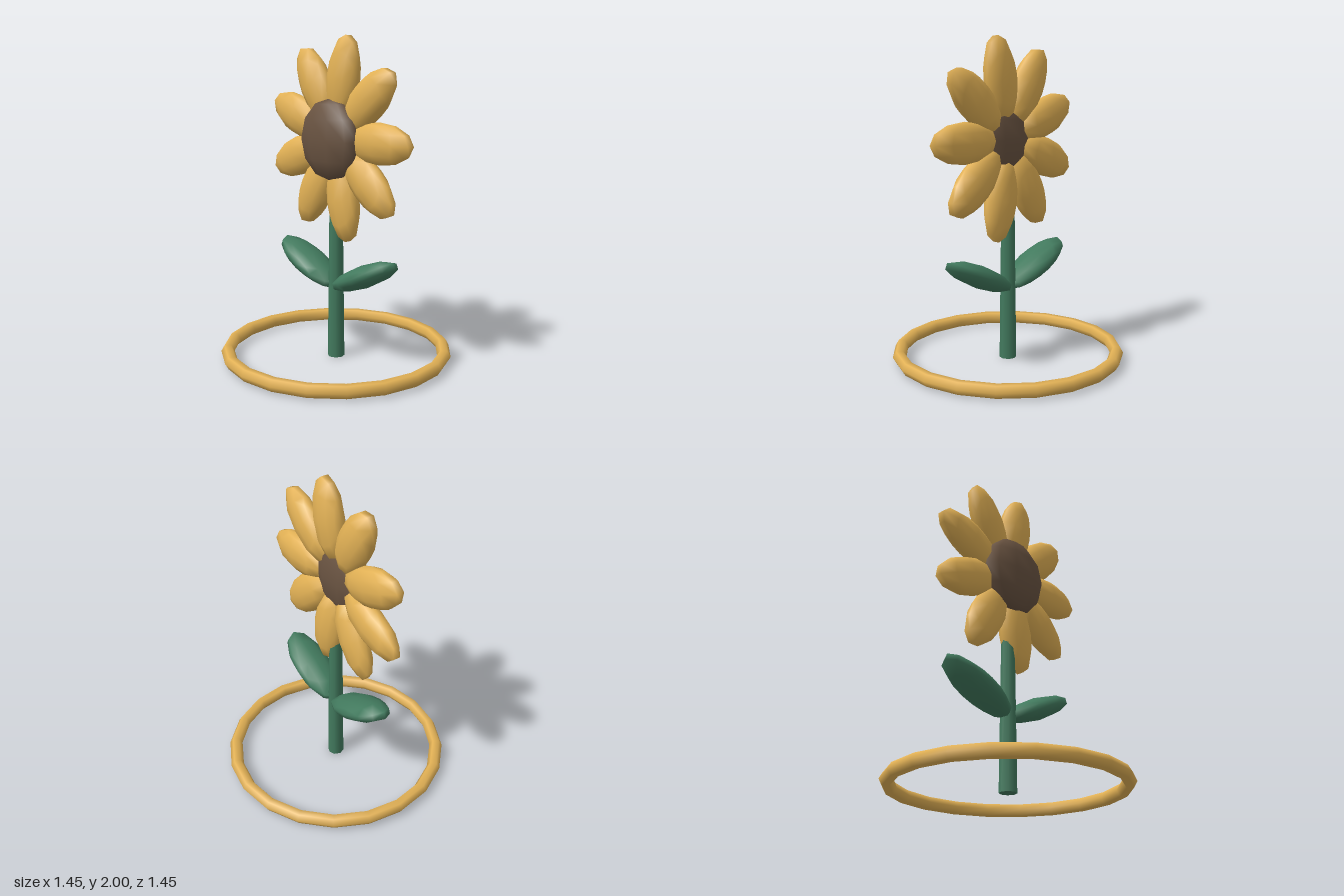
import * as THREE from 'three';

const yellow = new THREE.MeshStandardMaterial({ color: 0xe2b155 });
const green = new THREE.MeshStandardMaterial({ color: 0x427a5e });
const brown = new THREE.MeshStandardMaterial({ color: 0x695341 });

export function createModel() {
  const model = new THREE.Group();
  model.name = 'flower';

  const add = (name, geometry, material, x, y, z) => {
    const mesh = new THREE.Mesh(geometry, material);
    mesh.name = name;
    mesh.position.set(x, y, z);
    model.add(mesh);
    return mesh;
  };

  // Base ring lying flat, hexagonal in section
  add('baseRing', new THREE.TorusGeometry(0.685, 0.042, 6, 20).rotateX(Math.PI / 2), yellow, 0, 0.048, 0);

  // Slightly tapered stem ending inside the petals
  const stemHeight = 1.1;
  add('stem', new THREE.CylinderGeometry(0.04, 0.053, stemHeight, 8), green, 0, stemHeight / 2, 0);

  // Mirrored pair of leaves: long along x, wide along z
  const leafShape = new THREE.SphereGeometry(1, 10, 6).rotateY(Math.PI / 2).rotateX(Math.PI / 2);
  for (const side of [1, -1]) {
    const leaf = add(side > 0 ? 'leftLeaf' : 'rightLeaf', leafShape, green, side * 0.26, 0.568, 0);
    leaf.scale.set(0.288, 0.07, 0.125);
    leaf.rotation.set(0, side > 0 ? 0 : Math.PI, 0.42);
  }

  // Nine petals around the flower head: long along the radius, thin along z
  const headY = 1.38;
  const petalCount = 9;
  const petalShape = new THREE.SphereGeometry(1, 10, 6).rotateY(Math.PI / 2);
  for (let i = 0; i < petalCount; i++) {
    const angle = (i / petalCount) * Math.PI * 2;
    const reach = 0.378;
    const petal = add('petal', petalShape, yellow, Math.cos(angle) * reach, headY + Math.sin(angle) * reach, 0);
    petal.scale.set(0.265, 0.125, 0.077);
    petal.rotation.z = angle;
  }

  // Domed seed disc
  const disc = add('seedDisc', new THREE.SphereGeometry(1, 10, 6), brown, 0, headY, 0.05);
  disc.scale.set(0.25, 0.25, 0.103);

  return model;
}
